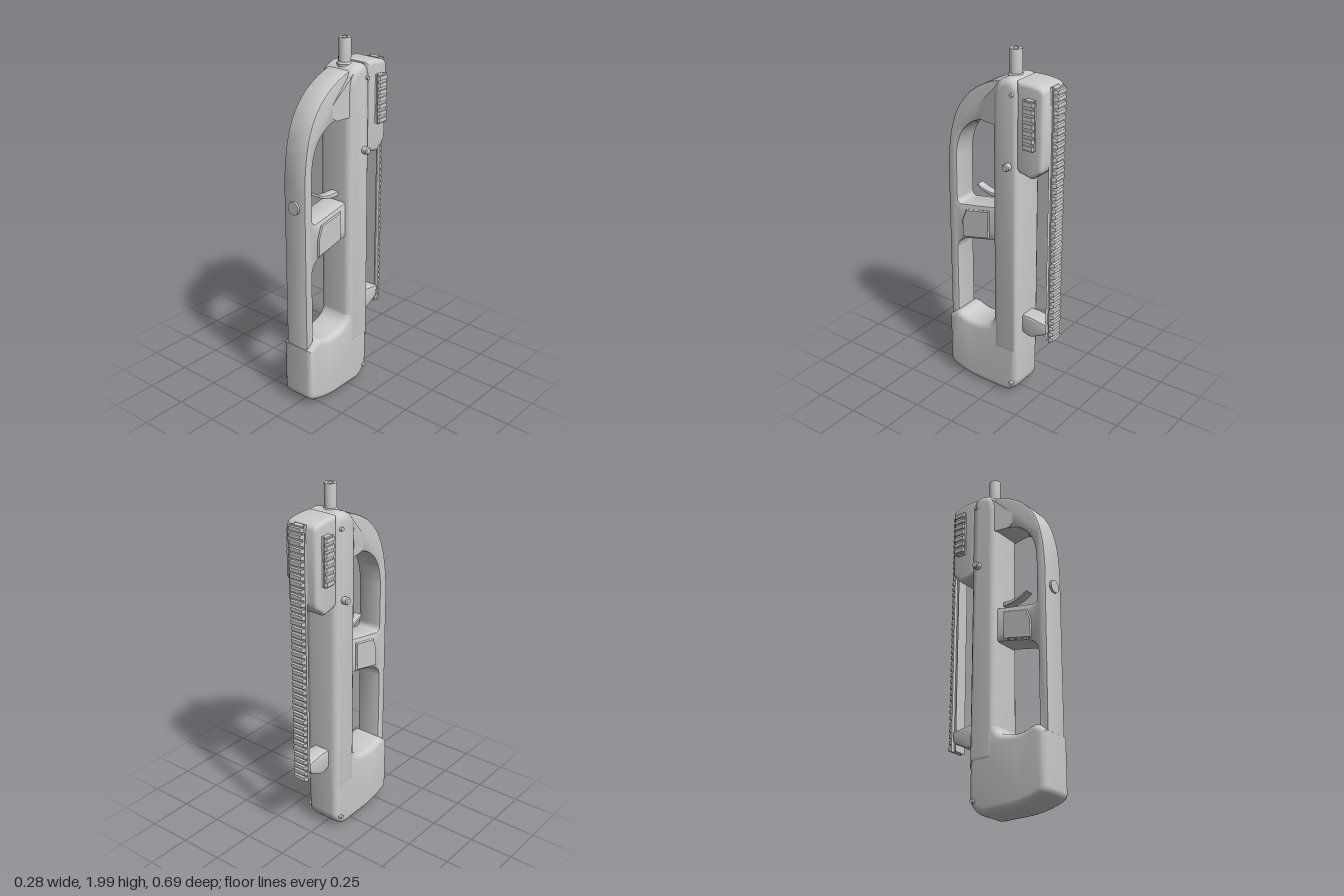
import * as THREE from 'three';
import { toCreasedNormals } from 'three/addons/utils/BufferGeometryUtils.js';

const material = new THREE.MeshStandardMaterial({ color: 0xcccccc });
const doubleSided = new THREE.MeshStandardMaterial({ color: 0xcccccc, side: THREE.DoubleSide });

// Side outline from [z, y] points; a point with four numbers is a quadratic curve (control, end)
function trace(path, points) {
  points.forEach((p, i) => {
    if (i === 0) path.moveTo(p[0], p[1]);
    else if (p.length === 4) path.quadraticCurveTo(...p);
    else path.lineTo(p[0], p[1]);
  });
  return path;
}

// Side outline extruded across x, with rounded edges that stay inside the outline
function sideSolid(points, halfWidth, bevel, holes = [], steps = 4) {
  const shape = trace(new THREE.Shape(), points);
  holes.forEach(h => shape.holes.push(trace(new THREE.Path(), h)));
  const depth = 2 * (halfWidth - bevel);
  const geo = new THREE.ExtrudeGeometry(shape, {
    depth, bevelEnabled: bevel > 0, bevelSize: bevel, bevelThickness: bevel,
    bevelOffset: -bevel, bevelSegments: steps, curveSegments: 12,
  });
  geo.translate(0, 0, -depth / 2);
  geo.rotateY(-Math.PI / 2);
  return toCreasedNormals(geo, 0.6);
}

// T-section accessory rail with cross teeth: stands along y, grows along +z from z = 0
function toothedRail(name, length, base, head, neckDepth, headDepth, toothDepth, count) {
  const rail = new THREE.Group();
  rail.name = name;
  const s = new THREE.Shape();
  const c = headDepth * 0.35;
  const half = [[base * 1.15, 0], [base * 0.85, neckDepth * 0.4], [base * 0.85, neckDepth],
    [head, neckDepth + c], [head, neckDepth + headDepth]];
  half.forEach(([x, z], i) => (i ? s.lineTo(x, z) : s.moveTo(x, z)));
  [...half].reverse().forEach(([x, z]) => s.lineTo(-x, z));
  const geo = new THREE.ExtrudeGeometry(s, { depth: length, bevelEnabled: false });
  geo.rotateX(Math.PI / 2);
  geo.scale(1, 1, 1);
  geo.translate(0, length / 2, 0);
  add(rail, 'railBase', geo);

  const pitch = length / count;
  const t = new THREE.Shape();
  t.moveTo(-head, 0).lineTo(head, 0).lineTo(head * 0.85, toothDepth).lineTo(-head * 0.85, toothDepth);
  const tooth = new THREE.ExtrudeGeometry(t, { depth: pitch * 0.58, bevelEnabled: false });
  tooth.rotateX(Math.PI / 2);
  for (let i = 0; i < count; i++) {
    const m = add(rail, 'railTooth', tooth);
    m.position.set(0, length / 2 - (i + 0.2) * pitch, neckDepth + headDepth);
  }
  return rail;
}

function add(parent, name, geo, mat = material) {
  const mesh = new THREE.Mesh(geo, mat);
  mesh.name = name;
  parent.add(mesh);
  return mesh;
}

export function createModel() {
  const model = new THREE.Group();
  model.name = 'uprightBody';

  // Long main body with a domed top
  add(model, 'mainBody', sideSolid([
    [0.015, 0.27], [0.015, 1.74], [0.015, 1.85, -0.06, 1.866], [-0.09, 1.875, -0.115, 1.865],
    [-0.145, 1.85, -0.152, 1.79], [-0.152, 0.25], [-0.12, 0.27],
  ], 0.106, 0.04));

  // Heavy rounded end block with a scooped top
  add(model, 'endBlock', sideSolid([
    [0.332, 0.37], [0.332, 0.09], [0.332, 0.055, 0.29, 0.04], [0.2, 0.008, 0.1, 0.007],
    [-0.06, 0.007], [-0.09, 0.008, -0.12, 0.04], [-0.152, 0.07, -0.152, 0.11], [-0.152, 0.4],
    [0, 0.47], [0.015, 0.46], [0.025, 0.42, 0.07, 0.405], [0.16, 0.375, 0.23, 0.405],
    [0.27, 0.425, 0.295, 0.4],
  ], 0.102, 0.035));

  // Arched outer frame with an upper and a lower opening, and the sloping grip between them
  add(model, 'archedFrame', sideSolid([
    [0.33, 0.33], [0.33, 1.28], [0.325, 1.52, 0.26, 1.64], [0.18, 1.79, -0.02, 1.845],
    [-0.06, 1.84], [-0.06, 0.33],
  ], 0.072, 0.01, [
    [[0.272, 1.13], [0.272, 1.36], [0.265, 1.5, 0.19, 1.56], [0.14, 1.605, 0.08, 1.605],
      [0, 1.61], [0, 1.137], [0.08, 1.12, 0.245, 1.092], [0.275, 1.09, 0.272, 1.13]],
    [[0.277, 0.37], [0, 0.37], [0, 0.937], [0.1, 0.918, 0.2, 0.892], [0.272, 0.875, 0.277, 0.81]],
  ], 2));

  // Flared web where the arch meets the body: wider toward the back
  const web = sideSolid([[0.15, 1.66], [-0.02, 1.83], [-0.02, 1.608], [0.09, 1.608]], 1, 0);
  const p = web.attributes.position;
  for (let i = 0; i < p.count; i++) {
    const z = p.getZ(i);
    p.setX(i, Math.sign(p.getX(i)) * (0.066 + 0.03 * (0.15 - z) / 0.17));
  }
  web.computeVertexNormals();
  add(model, 'archWeb', web);

  // Raised grip panels
  add(model, 'gripPanels', sideSolid([
    [0.237, 0.895], [0.055, 0.935], [0.055, 1.1], [0.21, 1.07], [0.237, 1.0],
  ], 0.08, 0.006, [], 1));

  // Curved trigger
  add(model, 'trigger', sideSolid([
    [-0.02, 1.187], [-0.02, 1.163], [0.03, 1.162], [0.12, 1.165, 0.177, 1.207], [0.168, 1.214],
    [0.11, 1.183, 0.04, 1.187],
  ], 0.025, 0.004, [], 2));

  // Round button on the front strip
  const button = new THREE.CylinderGeometry(0.036, 0.036, 0.03, 24).rotateX(Math.PI / 2);
  add(model, 'frontButton', button).position.set(0, 1.19, 0.327);

  // Hollow barrel with a flared foot
  const barrel = [[0.015, 1.9], [0.015, 2], [0.032, 2], [0.033, 1.995], [0.033, 1.875],
    [0.041, 1.865], [0.041, 1.84]].map(([r, y]) => new THREE.Vector2(r, y));
  const barrelGeo = toCreasedNormals(new THREE.LatheGeometry(barrel, 20), 0.6);
  add(model, 'barrel', barrelGeo, doubleSided).position.z = -0.065;
  add(model, 'boreFloor', new THREE.CylinderGeometry(0.016, 0.016, 0.01, 20)).position.set(0, 1.9, -0.065);

  // Rear housing near the top
  add(model, 'rearHousing', sideSolid([
    [-0.13, 1.4], [-0.15, 1.38], [-0.22, 1.363], [-0.235, 1.365], [-0.28, 1.405],
    [-0.292, 1.415, -0.294, 1.45], [-0.298, 1.82], [-0.295, 1.85, -0.265, 1.857],
    [-0.22, 1.868, -0.15, 1.866], [-0.13, 1.866],
  ], 0.095, 0.022));

  // Lower rail mount, tapering toward its foot
  add(model, 'lowerMount', sideSolid([
    [-0.13, 0.415], [-0.19, 0.392], [-0.215, 0.395], [-0.29, 0.435], [-0.305, 0.45],
    [-0.305, 0.505], [-0.2, 0.52], [-0.13, 0.517],
  ], 0.05, 0.012, [], 2));

  // Long rail at the back
  const rearRail = toothedRail('rearRail', 1.45, 0.032, 0.042, 0.018, 0.014, 0.016, 41);
  rearRail.rotation.y = Math.PI;
  rearRail.position.set(0, 1.125, -0.295);
  model.add(rearRail);

  // Mirrored side rails and pins
  for (const side of [1, -1]) {
    const rail = toothedRail(side > 0 ? 'leftRail' : 'rightRail', 0.265, 0.026, 0.034, 0.02, 0.01, 0.008, 7);
    rail.rotation.y = side * Math.PI / 2;
    rail.position.set(side * 0.092, 1.66, -0.225);
    model.add(rail);

    const knob = [[0, 0.05], [0.016, 0.05], [0.021, 0.044], [0.021, 0.022], [0.018, 0.012], [0.018, -0.01]]
      .map(([r, y]) => new THREE.Vector2(r, y)).reverse();
    const knobGeo = toCreasedNormals(new THREE.LatheGeometry(knob, 16), 0.6);
    const pin = add(model, 'crossPin', knobGeo);
    pin.rotation.z = -side * Math.PI / 2;
    pin.position.set(side * 0.09, 1.41, -0.095);

    for (const y of [1.795, 0.083]) {
      const small = new THREE.CylinderGeometry(0.011, 0.011, 0.06, 12).rotateZ(Math.PI / 2);
      add(model, 'smallPin', small).position.set(side * 0.088, y, -0.115);
    }
  }
  return model;
}
